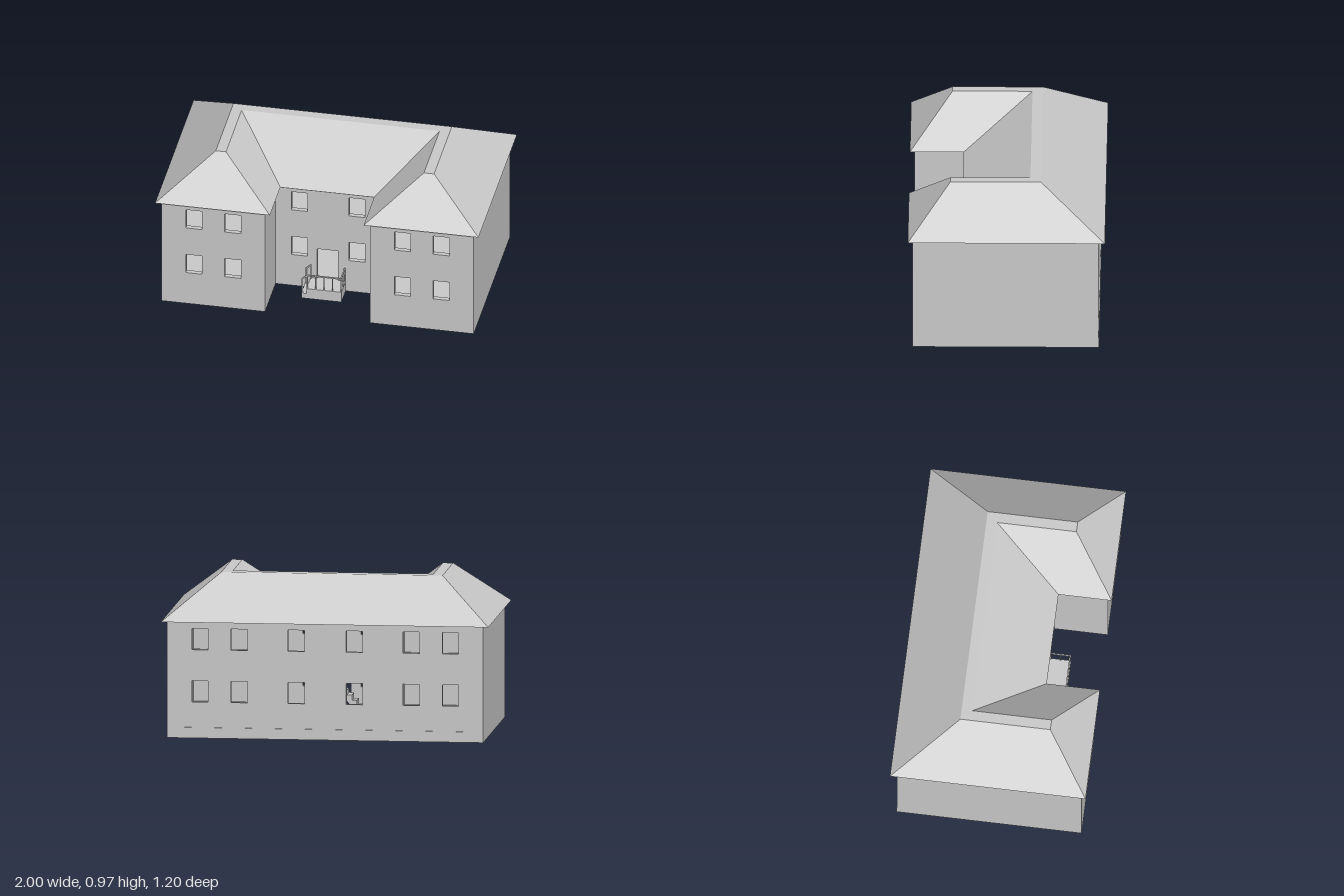
import * as THREE from 'three';

const grey = new THREE.MeshStandardMaterial({ color: 0xcccccc, flatShading: true, side: THREE.DoubleSide });
const T = 0.03; // wall thickness
const WALL_H = 0.71;

function add(parent, geometry, name, x = 0, y = 0, z = 0) {
  const mesh = new THREE.Mesh(geometry, grey);
  mesh.name = name;
  mesh.position.set(x, y, z);
  parent.add(mesh);
  return mesh;
}

// Box given by its limits on each axis
function block(parent, name, [x0, x1], [y0, y1], [z0, z1]) {
  return add(parent, new THREE.BoxGeometry(x1 - x0, y1 - y0, z1 - z0), name,
    (x0 + x1) / 2, (y0 + y1) / 2, (z0 + z1) / 2);
}

const polygon = (points) => points.map(([x, y]) => new THREE.Vector2(x, y));
const rect = (x0, x1, y0, y1) => polygon([[x0, y0], [x1, y0], [x1, y1], [x0, y1]]);

// Upright wall from u0 to u1 with rectangular openings [u0, u1, y0, y1]
function wallGeometry(u0, u1, openings) {
  const shape = new THREE.Shape(rect(u0, u1, 0, WALL_H));
  for (const o of openings) shape.holes.push(new THREE.Path(rect(...o).reverse()));
  return new THREE.ExtrudeGeometry(shape, { depth: T, bevelEnabled: false });
}

// Two storeys of windows at the given centres
function windows(centres) {
  return centres.flatMap((x) => [0.22, 0.54].map((y) => [x - 0.05, x + 0.05, y, y + 0.13]));
}

// Square bar between two points
function bar(parent, name, a, b, size = 0.008) {
  const from = new THREE.Vector3(...a), to = new THREE.Vector3(...b);
  const mesh = add(parent, new THREE.BoxGeometry(size, size, from.distanceTo(to)), name);
  mesh.position.copy(from).add(to).multiplyScalar(0.5);
  mesh.lookAt(to);
}

// Horizontal U-shaped slab hanging down from its top level
function floorGeometry(depth, hole) {
  const shape = new THREE.Shape(polygon([
    [-0.935, -0.53], [0.935, -0.53], [0.935, 0.537], [0.355, 0.537],
    [0.355, 0.21], [-0.355, 0.21], [-0.355, 0.537], [-0.935, 0.537]]));
  if (hole) shape.holes.push(new THREE.Path(rect(...hole).reverse()));
  return new THREE.ExtrudeGeometry(shape, { depth, bevelEnabled: false }).rotateX(Math.PI / 2);
}

function buildWalls() {
  const walls = new THREE.Group();
  walls.name = 'walls';
  const all = [-0.765, -0.525, -0.178, 0.178, 0.525, 0.765];
  add(walls, wallGeometry(-0.965, 0.965, windows(all)), 'backWall', 0, 0, -0.56);
  add(walls, wallGeometry(-0.325, 0.325, [...windows([-0.178, 0.178]), [-0.068, 0.062, 0.07, 0.28]]),
    'courtyardWall', 0, 0, 0.21);
  for (const s of [-1, 1]) {
    const side = s > 0 ? 'left' : 'right';
    const [a, b] = s > 0 ? [0.325, 0.965] : [-0.965, -0.325];
    add(walls, wallGeometry(a, b, windows([s * 0.525, s * 0.765])), side + 'WingFrontWall', 0, 0, 0.537);
    block(walls, side + 'OuterWall', [s * 0.95 - T / 2, s * 0.95 + T / 2], [0, WALL_H], [-0.53, 0.537]);
    // Inner wing wall with a doorway on each storey
    const inner = add(walls, wallGeometry(-0.53, 0.537, [[0, 0.1, 0.07, 0.28], [0, 0.1, 0.39, 0.6]]),
      side + 'WingInnerWall', s * 0.34 + T / 2, 0, 0);
    inner.rotation.y = -Math.PI / 2;
  }
  block(walls, 'backPlinth', [-0.965, 0.965], [0, 0.065], [-0.565, -0.559]);
  return walls;
}

// Hipped U-shaped roof lofted from the eaves to a narrow flat ridge
function buildRoof() {
  const roof = new THREE.Group();
  roof.name = 'roof';
  const eaveY = 0.712, ridgeY = 0.97;
  const eaves = [[-1, -0.6], [1, -0.6], [1, 0.595], [0.29, 0.595],
    [0.29, 0.27], [-0.29, 0.27], [-0.29, 0.595], [-1, 0.595]];
  const ridge = [[-0.675, -0.21], [0.675, -0.21], [0.675, 0.34], [0.612, 0.34],
    [0.612, -0.145], [-0.612, -0.145], [-0.612, 0.34], [-0.675, 0.34]];
  const positions = [];
  const low = (i) => [eaves[i][0], eaveY, eaves[i][1]];
  const high = (i) => [ridge[i][0], ridgeY, ridge[i][1]];
  for (let i = 0; i < eaves.length; i++) {
    const j = (i + 1) % eaves.length;
    positions.push(...low(i), ...high(i), ...high(j), ...low(i), ...high(j), ...low(j));
  }
  const slopes = new THREE.BufferGeometry();
  slopes.setAttribute('position', new THREE.Float32BufferAttribute(positions, 3));
  slopes.computeVertexNormals();
  add(roof, slopes, 'roofSlopes');
  const cap = (points) => new THREE.ShapeGeometry(new THREE.Shape(polygon(points)));
  add(roof, cap(eaves).rotateX(Math.PI / 2), 'soffit', 0, eaveY, 0);
  // Mirrored in z before turning so that it faces up
  add(roof, cap(ridge.map(([x, z]) => [x, -z])).rotateX(-Math.PI / 2), 'ridgeTop', 0, ridgeY, 0);
  return roof;
}

function buildPorch() {
  const porch = new THREE.Group();
  porch.name = 'porch';
  block(porch, 'porchPlatform', [-0.108, 0.108], [0, 0.07], [0.24, 0.37]);
  block(porch, 'porchStep', [-0.14, -0.108], [0, 0.035], [0.24, 0.37]);
  const x0 = -0.104, x1 = 0.104, zf = 0.365, zb = 0.246, top = 0.163;
  // Front and end handrails with balusters
  bar(porch, 'frontHandrail', [x0, top, zf], [x1, top, zf]);
  bar(porch, 'endHandrail', [x1, top, zf], [x1, top, zb]);
  for (let i = 0; i <= 4; i++) {
    const x = x0 + (x1 - x0) * i / 4;
    bar(porch, 'baluster', [x, 0.07, zf], [x, top, zf], 0.006);
  }
  for (const z of [zb, 0.305]) bar(porch, 'baluster', [x1, 0.07, z], [x1, top, z], 0.006);
  // Sloping rails beside the step
  for (const z of [zf, zb]) {
    bar(porch, 'stepRail', [x0, top, z], [-0.135, 0.135, z]);
    bar(porch, 'stepPost', [-0.135, 0.035, z], [-0.135, 0.138, z]);
    bar(porch, 'railPost', [x0, 0.07, z], [x0, top, z], 0.006);
  }
  return porch;
}

function buildInterior() {
  const interior = new THREE.Group();
  interior.name = 'interior';
  add(interior, floorGeometry(0.07), 'groundFloor', 0, 0.07, 0);
  add(interior, floorGeometry(0.03, [-0.25, 0, -0.45, -0.33]), 'upperFloor', 0, 0.39, 0);
  // Stair flight with stepped top and sloping underside
  const n = 10, run = 0.03, rise = 0.032;
  const profile = [[-0.3, 0.07]];
  for (let i = 0; i < n; i++) {
    const x = -0.3 + i * run, y = 0.07 + (i + 1) * rise;
    profile.push([x, y], [x + run, y]);
  }
  profile.push([0, 0.35], [-0.26, 0.07]);
  const flight = new THREE.ExtrudeGeometry(new THREE.Shape(polygon(profile)), { depth: 0.1, bevelEnabled: false });
  add(interior, flight, 'staircase', 0, 0, -0.44);
  return interior;
}

export function createModel() {
  const house = new THREE.Group();
  house.name = 'house';
  house.add(buildWalls(), buildRoof(), buildPorch(), buildInterior());
  return house;
}
